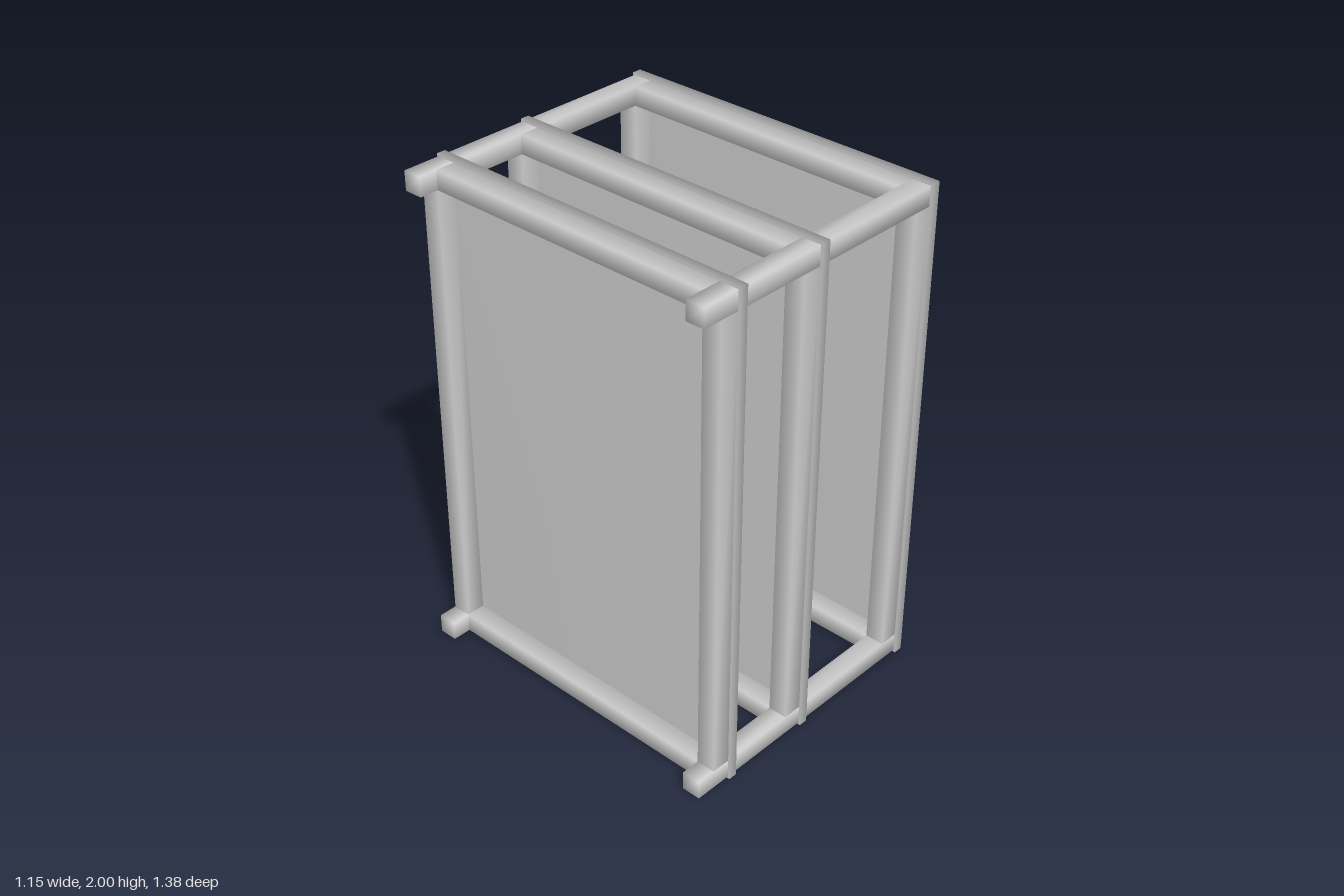
import * as THREE from 'three';
import { mergeVertices } from 'three/addons/utils/BufferGeometryUtils.js';

const material = new THREE.MeshStandardMaterial({ color: 0xcccccc });

// Box between two corners, its shared corners smoothly shaded
function softBox(name, min, max) {
  const size = max.map((v, i) => v - min[i]);
  let geometry = new THREE.BoxGeometry(...size);
  geometry.deleteAttribute('uv');
  geometry.deleteAttribute('normal');
  geometry = mergeVertices(geometry);
  geometry.computeVertexNormals();
  geometry.translate(...max.map((v, i) => (v + min[i]) / 2));
  const mesh = new THREE.Mesh(geometry, material);
  mesh.name = name;
  return mesh;
}

export function createModel() {
  const model = new THREE.Group();
  model.name = 'panelRack';

  // Bar extents: inner and outer faces of the frame
  const zIn = 0.606, zOut = 0.682;
  const bottom = [0.008, 0.084], top = [1.916, 1.992];
  const sides = [[-zOut, -zIn], [zIn, zOut]];

  // Four long rails across the panels
  for (const [y0, y1] of [bottom, top])
    for (const [z0, z1] of sides)
      model.add(softBox('longRail', [-0.578, y0, z0], [0.538, y1, z1]));

  // Each bay: a thin full-size panel backed by a rectangular frame
  const bays = [
    { name: 'leftBay', back: -0.502, face: -0.425, end: -0.39 },
    { name: 'middleBay', back: -0.112, face: -0.034, end: 0.002 },
    { name: 'rightBay', back: 0.46, face: 0.538, end: 0.574 },
  ];
  for (const { name, back, face, end } of bays) {
    const bay = new THREE.Group();
    bay.name = name;
    bay.add(softBox('panel', [face, 0, -0.69], [end, 2, 0.69]));
    for (const [z0, z1] of sides)
      bay.add(softBox('post', [back, bottom[1], z0], [face, top[0], z1]));
    for (const [y0, y1] of [bottom, top])
      bay.add(softBox('crossRail', [back, y0, -zIn], [face, y1, zIn]));
    model.add(bay);
  }
  return model;
}
